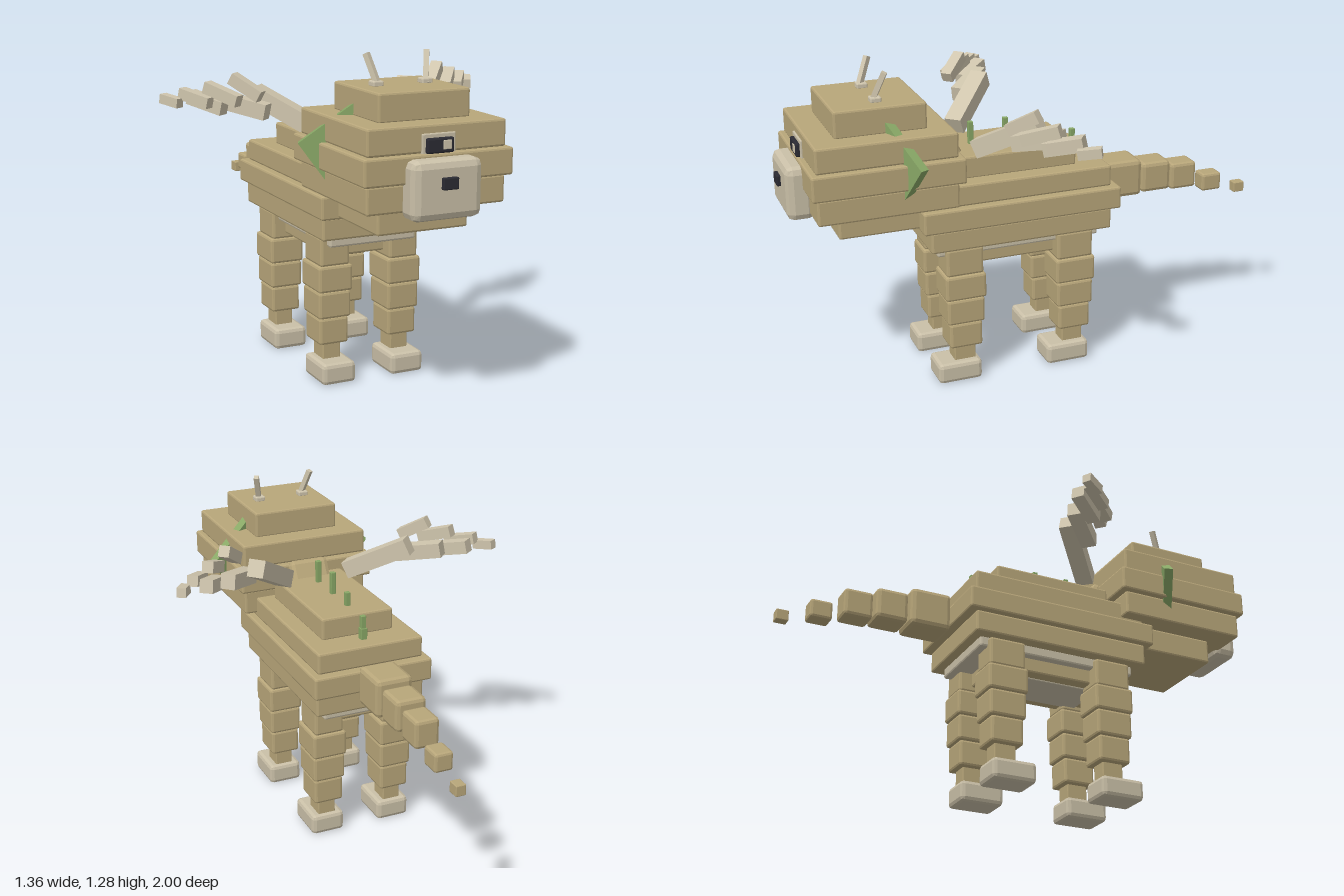
import * as THREE from 'three';
import { RoundedBoxGeometry } from 'three/addons/geometries/RoundedBoxGeometry.js';

const paint = (name, color) => {
  const m = new THREE.MeshStandardMaterial({ color });
  m.name = name;
  return m;
};

export function createModel() {
  const model = new THREE.Group();
  const tan = paint('tan hide', 0xb8a67a);
  const pale = paint('pale hoof', 0xcac0a8);
  const bone = paint('bone', 0xcfc5ad);
  const green = paint('green', 0x88a766);
  const dark = paint('dark', 0x2b2b33);

  // Box with chamfered edges
  function block(parent, name, mat, w, h, d, x, y, z, bevel = 0.008) {
    const geo = new RoundedBoxGeometry(w, h, d, 1, bevel);
    geo.computeVertexNormals();
    const mesh = new THREE.Mesh(geo, mat);
    mesh.name = name;
    mesh.position.set(x, y, z);
    parent.add(mesh);
    return mesh;
  }
  // Chamfered box given by half width and its y and z ranges
  const slab = (parent, name, mat, hx, y0, y1, z0, z1, bevel) =>
    block(parent, name, mat, hx * 2, y1 - y0, z1 - z0, 0, (y0 + y1) / 2, (z0 + z1) / 2, bevel);
  // Square bar between two points
  function bar(parent, name, mat, a, b, w, h = w) {
    const from = new THREE.Vector3(...a), to = new THREE.Vector3(...b);
    const mesh = new THREE.Mesh(new THREE.BoxGeometry(w, h, from.distanceTo(to)), mat);
    mesh.name = name;
    mesh.position.copy(from).lerp(to, 0.5);
    mesh.lookAt(to);
    parent.add(mesh);
  }
  const group = (name) => {
    const g = new THREE.Group();
    g.name = name;
    model.add(g);
    return g;
  };
  function mirror(g, name) {
    const other = g.clone();
    other.name = name;
    other.scale.x = -1;
    model.add(other);
  }

  // Body: stepped layers
  const body = group('body');
  [
    [0.15, 0.83, 0.92, -0.155, 0.345],
    [0.22, 0.75, 0.835, -0.277, 0.467],
    [0.247, 0.66, 0.75, -0.31, 0.5],
    [0.227, 0.573, 0.66, -0.277, 0.467],
    [0.15, 0.478, 0.575, -0.155, 0.345],
  ].forEach(([hx, y0, y1, z0, z1]) => slab(body, 'bodyLayer', tan, hx, y0, y1, z0, z1));
  slab(body, 'bellyPlate', pale, 0.18, 0.535, 0.58, -0.24, 0.43);
  slab(body, 'bellyPad', pale, 0.1, 0.472, 0.485, -0.12, 0.31, 0.004);

  // Neck: slanted block joining body and head
  const neck = block(body, 'neck', tan, 0.17, 0.23, 0.33, 0, 0.8075, 0.416, 0.02);
  neck.rotation.x = Math.PI / 6;

  // Head: stepped layers
  const head = group('head');
  [
    [0.18, 1.06, 1.166, 0.457, 0.81],
    [0.27, 0.967, 1.065, 0.366, 0.904],
    [0.29, 0.868, 0.967, 0.342, 0.925],
    [0.27, 0.768, 0.868, 0.366, 0.904],
    [0.18, 0.668, 0.77, 0.457, 0.81],
  ].forEach(([hx, y0, y1, z0, z1]) => slab(head, 'headLayer', tan, hx, y0, y1, z0, z1));

  // Face
  slab(head, 'muzzle', pale, 0.135, 0.745, 0.955, 0.88, 0.985, 0.028);
  slab(head, 'nose', dark, 0.03, 0.855, 0.897, 0.96, 1.0, 0.004);
  slab(head, 'eyeSocket', pale, 0.065, 0.95, 1.035, 0.895, 0.911, 0.004);
  slab(head, 'eye', dark, 0.052, 0.967, 1.02, 0.9, 0.926, 0.006);
  block(head, 'eyeGlint', bone, 0.032, 0.032, 0.008, 0.024, 0.996, 0.925, 0.002);

  // Ears: thin tilted squares set into the sides of the head
  const ear = group('leftEar');
  const earPlate = new THREE.Mesh(new THREE.BoxGeometry(0.245, 0.225, 0.035), green);
  earPlate.name = 'earPlate';
  earPlate.position.set(0.2, 0.945, 0.59);
  earPlate.rotation.set(0, THREE.MathUtils.degToRad(24), THREE.MathUtils.degToRad(-36), 'YXZ');
  ear.add(earPlate);
  mirror(ear, 'rightEar');

  // Horns
  const horn = group('leftHorn');
  block(horn, 'hornBase', bone, 0.042, 0.022, 0.042, 0.098, 1.173, 0.632, 0.005);
  bar(horn, 'hornShaft', bone, [0.095, 1.165, 0.642], [0.121, 1.277, 0.598], 0.02);
  mirror(horn, 'rightHorn');

  // Legs: bulging segments above a narrow shin and a hoof
  const legs = group('leftLegs');
  for (const z of [0.327, -0.134]) {
    [
      [0.12, 0.15, 0.455, 0.57],
      [0.14, 0.166, 0.355, 0.458],
      [0.132, 0.152, 0.25, 0.355],
      [0.12, 0.134, 0.145, 0.25],
    ].forEach(([w, d, y0, y1]) =>
      block(legs, 'legSegment', tan, w, y1 - y0, d, 0.145, (y0 + y1) / 2, z, 0.01));
    block(legs, 'shin', tan, 0.073, 0.09, 0.087, 0.145, 0.11, z, 0.004);
    block(legs, 'hoof', pale, 0.138, 0.083, 0.18, 0.145, 0.0415, z + 0.028, 0.016);
  }
  mirror(legs, 'rightLegs');

  // Tail: separate shrinking blocks
  const tail = group('tail');
  [
    [0.075, 0.628, 0.782, -0.485, -0.318, 0.018],
    [0.062, 0.63, 0.757, -0.622, -0.492, 0.016],
    [0.049, 0.62, 0.732, -0.748, -0.632, 0.013],
    [0.037, 0.587, 0.662, -0.876, -0.788, 0.01],
    [0.02, 0.555, 0.598, -1.0, -0.952, 0.003],
  ].forEach((s) => {
    const [hx, y0, y1, z0, z1, bevel] = s;
    slab(tail, 'tailSegment', tan, hx, y0, y1, z0, z1, bevel);
  });

  // Spines along the back
  const spines = group('spines');
  [[0.23, 0.9, 1.01], [0.085, 0.9, 1.01], [-0.055, 0.9, 0.975], [-0.2, 0.82, 0.93]].forEach(
    ([z, y0, y1]) => slab(spines, 'spine', green, 0.01, y0, y1, z - 0.01, z + 0.01, 0.002));
  slab(spines, 'spineBase', green, 0.013, 0.83, 0.88, -0.214, -0.186, 0.002);

  // Wings: an arm of overlapping bars with shorter feathers above
  const wing = group('leftWing');
  [
    [[0.14, 0.95, 0.25], [0.33, 1.08, 0.07], 0.07],
    [[0.32, 1.02, 0.17], [0.46, 1.06, 0.03], 0.06],
    [[0.47, 1.035, 0.11], [0.56, 1.07, -0.01], 0.052],
    [[0.36, 1.085, 0.205], [0.44, 1.15, 0.12], 0.045],
    [[0.44, 1.07, 0.185], [0.525, 1.115, 0.07], 0.045],
    [[0.53, 1.06, 0.12], [0.605, 1.09, 0.015], 0.042],
    [[0.622, 1.055, 0.045], [0.665, 1.068, -0.03], 0.036],
  ].forEach(([a, b, w]) => bar(wing, 'wingBar', bone, a, b, w));
  mirror(wing, 'rightWing');

  return model;
}
